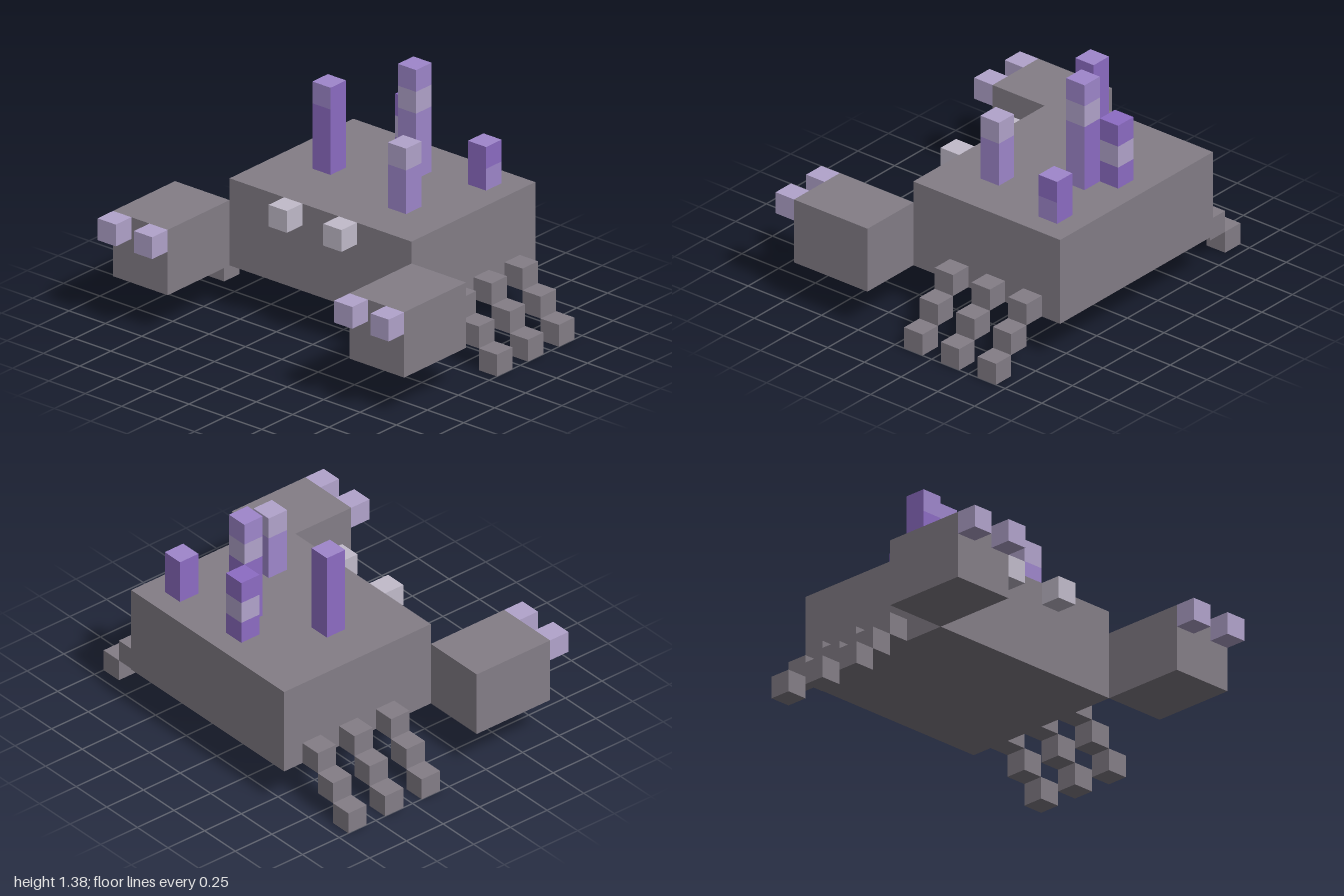
import * as THREE from 'three';

const U = 0.125; // one block

function material(name, color) {
  const m = new THREE.MeshStandardMaterial({ color });
  m.name = name;
  return m;
}

export function createModel() {
  const model = new THREE.Group();
  model.name = 'crystalCrab';

  const stone = material('stoneGrey', 0x847e87);
  const pale = material('paleLilac', 0xc2bccb);
  const lilac = material('lilac', 0xb2a4cc);
  const violet = material('violet', 0x9f87cc);
  const purple = material('deepPurple', 0x8d6cc4);

  // Box from its low corner and its size, in blocks
  function box(parent, name, mat, [x, y, z], [w, h, d]) {
    const mesh = new THREE.Mesh(new THREE.BoxGeometry(w * U, h * U, d * U), mat);
    mesh.position.set((x + w / 2) * U, (y + h / 2) * U, (z + d / 2) * U);
    mesh.name = name;
    parent.add(mesh);
    return mesh;
  }

  box(model, 'body', stone, [-5, 2, -6.5], [10, 4, 8]);

  for (const side of [1, -1]) {
    const label = side > 0 ? 'left' : 'right';
    // Low corner of a box of width w whose inner edge is x from the middle
    const at = (x, w) => (side > 0 ? x : -x - w);

    box(model, label + 'Eye', pale, [at(1, 1), 5, 1.5], [1, 1, 1]);

    // Claw with two pincer tips
    const claw = new THREE.Group();
    claw.name = label + 'Claw';
    box(claw, 'clawArm', stone, [at(5, 3), 2, 1.5], [3, 3, 4]);
    for (const x of [5, 7]) box(claw, 'pincerTip', lilac, [at(x, 1), 4, 5.5], [1, 1, 1]);
    model.add(claw);

    // Three legs, each stepping outward and down
    for (const z of [-5.5, -3.5, -1.5]) {
      const leg = new THREE.Group();
      leg.name = label + 'Leg';
      for (let i = 0; i < 3; i++) box(leg, 'legBlock', stone, [at(5 + i, 1), 2 - i, z], [1, 1, 1]);
      model.add(leg);
    }
  }

  // Crystals: corner x, z and blocks from bottom to top.
  // One letter colours a whole block, six letters its faces +x -x +y -y +z -z.
  const tint = { d: purple, v: violet, l: lilac };
  const crystals = [
    [-3, -2.5, ['d', 'd', 'd', 'ddvdvd']],
    [-1, -5.5, ['d', 'l', 'd']],
    [0, -4.5, ['vdvvvd', 'vdvvvd', 'vdvvvd', 'l', 'v']],
    [2, -1.5, ['v', 'v', 'l']],
    [3, -5.5, ['vddddd', 'ddvddd']],
  ];
  for (const [x, z, blocks] of crystals) {
    const crystal = new THREE.Group();
    crystal.name = 'crystal';
    blocks.forEach((code, i) => {
      const mat = code.length === 1 ? tint[code] : [...code].map((c) => tint[c]);
      box(crystal, 'crystalBlock', mat, [x, 6 + i, z], [1, 1, 1]);
    });
    model.add(crystal);
  }

  return model;
}
